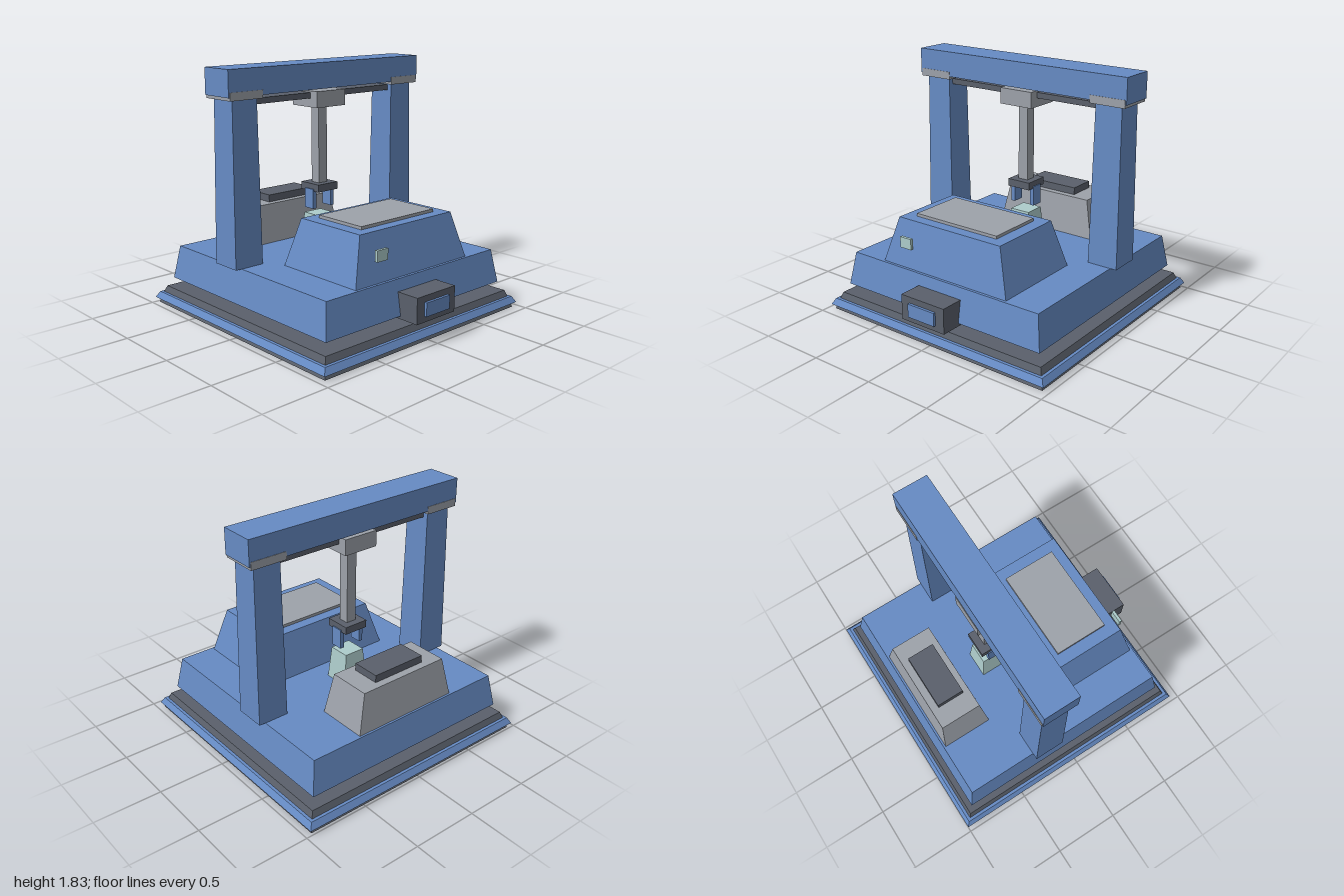
import * as THREE from 'three';

const mat = (name, color) => {
  const m = new THREE.MeshStandardMaterial({ color });
  m.name = name;
  return m;
};

export function createModel() {
  const model = new THREE.Group();
  model.name = 'gantryMachine';
  const blue = mat('paintedBlue', 0x668bc4);
  const grey = mat('lightGrey', 0x9da2aa);
  const dark = mat('darkGrey', 0x5a606b);
  const mint = mat('paleMint', 0xadcccb);

  // Box centred on (x, z) from y0 to y1; the top face may be smaller than the bottom
  function block(name, material, x, z, y0, y1, hx, hz, topHx = hx, topHz = hz) {
    const geo = new THREE.BoxGeometry(2 * hx, y1 - y0, 2 * hz);
    const p = geo.attributes.position;
    for (let i = 0; i < p.count; i++) {
      if (p.getY(i) > 0) {
        p.setX(i, Math.sign(p.getX(i)) * topHx);
        p.setZ(i, Math.sign(p.getZ(i)) * topHz);
      }
    }
    geo.computeVertexNormals();
    const mesh = new THREE.Mesh(geo, material);
    mesh.position.set(x, (y0 + y1) / 2, z);
    mesh.name = name;
    model.add(mesh);
    return mesh;
  }

  // Stepped foot and the main bed hovering above it
  const cx = -0.0325;
  block('footPlate', dark, cx, 0, 0, 0.037, 0.948, 0.948, 0.935, 0.935);
  block('footTrim', blue, cx, 0, 0.037, 0.083, 0.968, 0.968, 0.942, 0.942);
  block('footStep', dark, cx, 0, 0.083, 0.13, 0.92, 0.92, 0.902, 0.902);
  block('bed', blue, cx, 0, 0.197, 0.447, 0.864, 0.864, 0.823, 0.823);

  // Gantry: mirrored columns and caps, beam and rail
  const gx = -0.2;
  for (const s of [1, -1]) {
    block('column', blue, gx, s * 0.755, 0.447, 1.62, 0.117, 0.117, 0.103, 0.103);
    block('columnCap', grey, gx, s * 0.76, 1.618, 1.675, 0.136, 0.137);
  }
  block('beam', blue, gx, 0, 1.64, 1.828, 0.133, 0.907);
  block('rail', dark, gx, 0, 1.57, 1.612, 0.065, 0.7);

  // Carriage with the lifting post and gripper
  block('carriage', grey, gx, 0, 1.505, 1.623, 0.134, 0.137);
  block('post', grey, gx, 0, 0.925, 1.505, 0.04, 0.04);
  block('gripperHead', dark, gx, 0, 0.872, 0.928, 0.095, 0.095);
  for (const s of [1, -1]) {
    block('gripperFinger', blue, gx, s * 0.087, 0.74, 0.888, 0.045, 0.016);
  }
  block('workpiece', mint, gx, 0, 0.447, 0.69, 0.1, 0.1, 0.08, 0.08);

  // Large housing with its lid and a button
  block('housing', blue, 0.41, 0, 0.447, 0.785, 0.36, 0.55, 0.292, 0.45);
  block('housingLid', grey, 0.41, 0, 0.785, 0.807, 0.21, 0.357);
  block('button', mint, 0.775, 0.32, 0.6, 0.68, 0.011, 0.05);

  // Small side cabinet
  block('cabinet', grey, -0.648, 0, 0.447, 0.742, 0.192, 0.423, 0.158, 0.36);
  block('cabinetLid', dark, -0.645, 0, 0.742, 0.797, 0.105, 0.213);

  // Control box with its screen
  block('controlBox', dark, 0.875, 0, 0.175, 0.362, 0.104, 0.19);
  block('screen', blue, 0.985, 0, 0.218, 0.317, 0.013, 0.117);

  return model;
}
